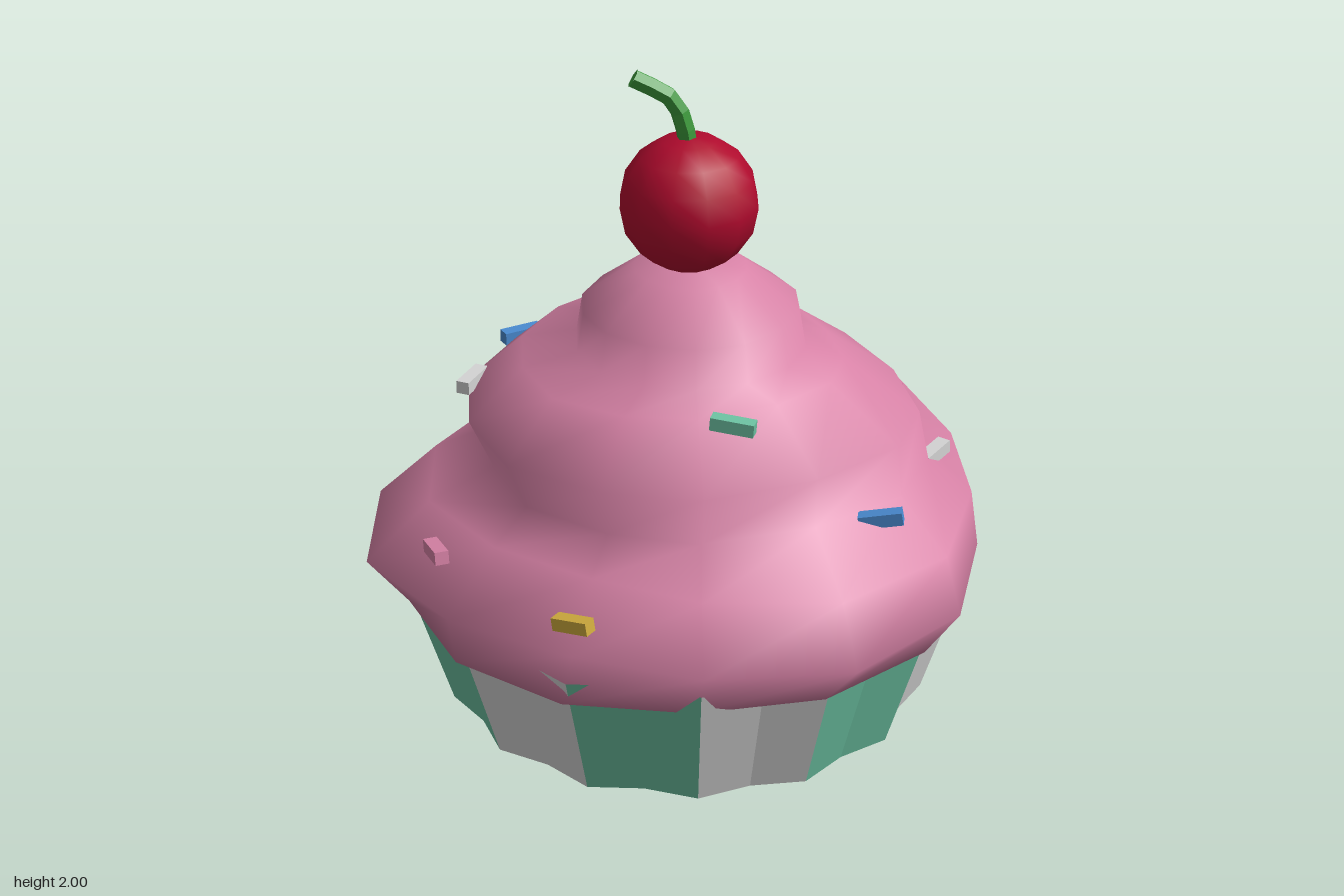
import * as THREE from 'three';

const CX = 0.05, CZ = -0.03; // axis of the cake

const mat = (name, color, side = THREE.FrontSide) => {
  const m = new THREE.MeshStandardMaterial({ color, side });
  m.name = name;
  return m;
};

function flat(geometry) {
  const g = geometry.toNonIndexed();
  g.computeVertexNormals();
  return g;
}

// Skin closed rings of [x, y, z] points (bottom to top) and close both ends
function skinRings(rings, bottom, top) {
  const n = rings[0].length, index = [];
  const pos = [...rings.flat(), bottom, top].flat();
  const b = rings.length * n, t = b + 1, last = (rings.length - 1) * n;
  for (let i = 0; i < n; i++) {
    const j = (i + 1) % n;
    for (let r = 0; r < rings.length - 1; r++) {
      const a = r * n + i, c = r * n + j;
      index.push(a, a + n, c, c, a + n, c + n);
    }
    index.push(b, i, j, t, last + j, last + i);
  }
  const g = new THREE.BufferGeometry();
  g.setAttribute('position', new THREE.Float32BufferAttribute(pos, 3));
  g.setIndex(index);
  g.computeVertexNormals();
  return g;
}

export function createModel() {
  const model = new THREE.Group();
  model.name = 'cupcake';
  const mats = {
    frosting: mat('frosting pink', 0xd782a6),
    mint: mat('mint green', 0x6cc1a1, THREE.DoubleSide),
    white: mat('paper white', 0xd4d4d4, THREE.DoubleSide),
    cherry: mat('cherry red', 0xaf0a2d),
    stem: mat('stem green', 0x3c993b),
    blue: mat('sprinkle blue', 0x4a8bd0),
    yellow: mat('sprinkle yellow', 0xd0ac3e),
  };
  const add = (name, geometry, material, parent = model) => {
    const m = new THREE.Mesh(geometry, material);
    m.name = name;
    parent.add(m);
    return m;
  };

  // Paper wrapper: alternating panels, each folded inwards down its middle
  const wrapper = new THREE.Group();
  wrapper.name = 'wrapper';
  wrapper.position.set(CX, 0, CZ + 0.01);
  model.add(wrapper);
  const step = Math.PI * 2 / 14, fold = 0.945;
  const foldIn = (g, isFold) => {
    const p = g.attributes.position;
    for (let i = 0; i < p.count; i++) {
      if (isFold(i)) p.setXYZ(i, p.getX(i) * fold, p.getY(i), p.getZ(i) * fold);
    }
    return g;
  };
  for (let i = 0; i < 14; i++) {
    const g = new THREE.CylinderGeometry(0.885, 0.75, 0.44, 2, 1, true, (i - 0.5) * step, step);
    g.translate(0, 0.22, 0);
    add('wrapperPanel', flat(foldIn(g, k => k % 3 === 1)), i % 2 ? mats.mint : mats.white, wrapper);
  }
  const base = new THREE.CircleGeometry(0.75, 28);
  base.rotateX(Math.PI / 2);
  add('wrapperBase', foldIn(base, k => k % 2 === 0), mats.white, wrapper);

  // Frosting: two uneven outlines (x, z), scaled at several heights, with a drooping foot and round tip
  const lower = [[0.94, -0.03], [0.87, 0.36], [0.67, 0.74], [0.28, 0.955], [-0.15, 0.88], [-0.48, 0.66], [-0.78, 0.37],
    [-0.95, -0.03], [-0.83, -0.46], [-0.5, -0.74], [-0.14, -0.89], [0.27, -0.96], [0.68, -0.82], [0.92, -0.45]];
  const middle = [[0.72, -0.03], [0.7, 0.26], [0.56, 0.46], [0.27, 0.59], [-0.08, 0.62], [-0.35, 0.5], [-0.57, 0.27],
    [-0.62, -0.03], [-0.56, -0.32], [-0.36, -0.56], [-0.1, -0.71], [0.21, -0.72], [0.46, -0.57], [0.66, -0.32]];
  const footRadii = [0.855, 0.88, 0.895, 0.885, 0.855, 0.875, 0.88, 0.86, 0.855, 0.855, 0.865, 0.875, 0.865, 0.855];
  const polar = (y, radii, x, z) => radii.map((r, i) => [x + r * Math.cos(i * step), y, z + r * Math.sin(i * step)]);
  const circle = (y, r) => polar(y, Array(14).fill(r), 0.06, -0.01);
  // lean pushes the ring out towards +x and in towards -x
  const ring = (outline, y, scale, lean = 0) => outline.map(([x, z], i) => {
    const s = scale + lean * Math.cos(i * step);
    return [CX + (x - CX) * s, y, CZ + (z - CZ) * s];
  });
  const rings = [
    polar(0.36, footRadii, 0.035, -0.035),
    ring(lower, 0.52, 1),
    ring(lower, 0.7, 0.89, 0.09),
    ring(middle, 0.79, 0.975, 0.08),
    ring(middle, 0.95, 1),
    ring(middle, 1.11, 0.71, -0.04),
    circle(1.15, 0.35),
    circle(1.27, 0.33),
    circle(1.39, 0.17),
  ];
  add('frosting', skinRings(rings, [CX, 0.4, CZ], [0.06, 1.41, -0.02]), mats.frosting);

  // Cherry with a small highlight and a bent stem
  const centre = new THREE.Vector3(0.057, 1.59, -0.02);
  add('cherry', new THREE.SphereGeometry(0.21, 12, 8), mats.cherry).position.copy(centre);
  const out = new THREE.Vector3(0.125, 0.13, -0.1).normalize();
  const shine = add('cherryHighlight', new THREE.SphereGeometry(0.04, 5, 4), mats.white);
  shine.scale.z = 0.3;
  shine.position.copy(centre).addScaledVector(out, 0.204);
  shine.lookAt(shine.position.clone().add(out));
  const stemPath = new THREE.CatmullRomCurve3([[0.055, 1.76, -0.02], [0.045, 1.82, -0.02],
    [0.01, 1.91, -0.03], [-0.1, 1.975, -0.06]].map(p => new THREE.Vector3(...p)));
  const stem = new THREE.Group();
  stem.name = 'stem';
  model.add(stem);
  add('stemStalk', flat(new THREE.TubeGeometry(stemPath, 5, 0.029, 6)), mats.stem, stem);
  const end = add('stemTip', new THREE.CircleGeometry(0.029, 6), mats.stem, stem);
  end.position.copy(stemPath.getPoint(1));
  end.lookAt(end.position.clone().add(stemPath.getTangent(1)));

  // Sprinkles: colour, centre, direction of the long axis, length
  const sprinkles = [
    ['mint', [0.06, 0.84, -0.73], [0, 0.2, 1], 0.11],
    ['blue', [-0.335, 0.955, -0.58], [0.12, 0, -0.03], 0.13],
    ['yellow', [0.475, 0.94, -0.59], [0.11, 0, -0.05], 0.13],
    ['frosting', [0.765, 0.775, -0.25], [0.12, -0.01, 0.06], 0.13],
    ['white', [0.77, 0.775, 0.215], [0.09, 0.01, -0.07], 0.12],
    ['blue', [0.475, 0.782, 0.57], [0.12, 0.025, 0.05], 0.13],
    ['mint', [0.05, 1.1, 0.475], [0.12, -0.01, 0.07], 0.13],
    ['yellow', [-0.48, 0.645, 0.685], [0.08, 0.02, 0.09], 0.12],
    ['frosting', [-0.78, 0.67, 0.22], [0.01, 0.02, 0.12], 0.13],
    ['white', [-0.565, 0.985, -0.24], [0.08, 0, -0.1], 0.13],
  ];
  for (const [colour, p, d, length] of sprinkles) {
    const s = add('sprinkle', new THREE.BoxGeometry(0.042, 0.04, length), mats[colour]);
    s.position.set(...p);
    s.lookAt(s.position.clone().add(new THREE.Vector3(...d)));
  }
  return model;
}
